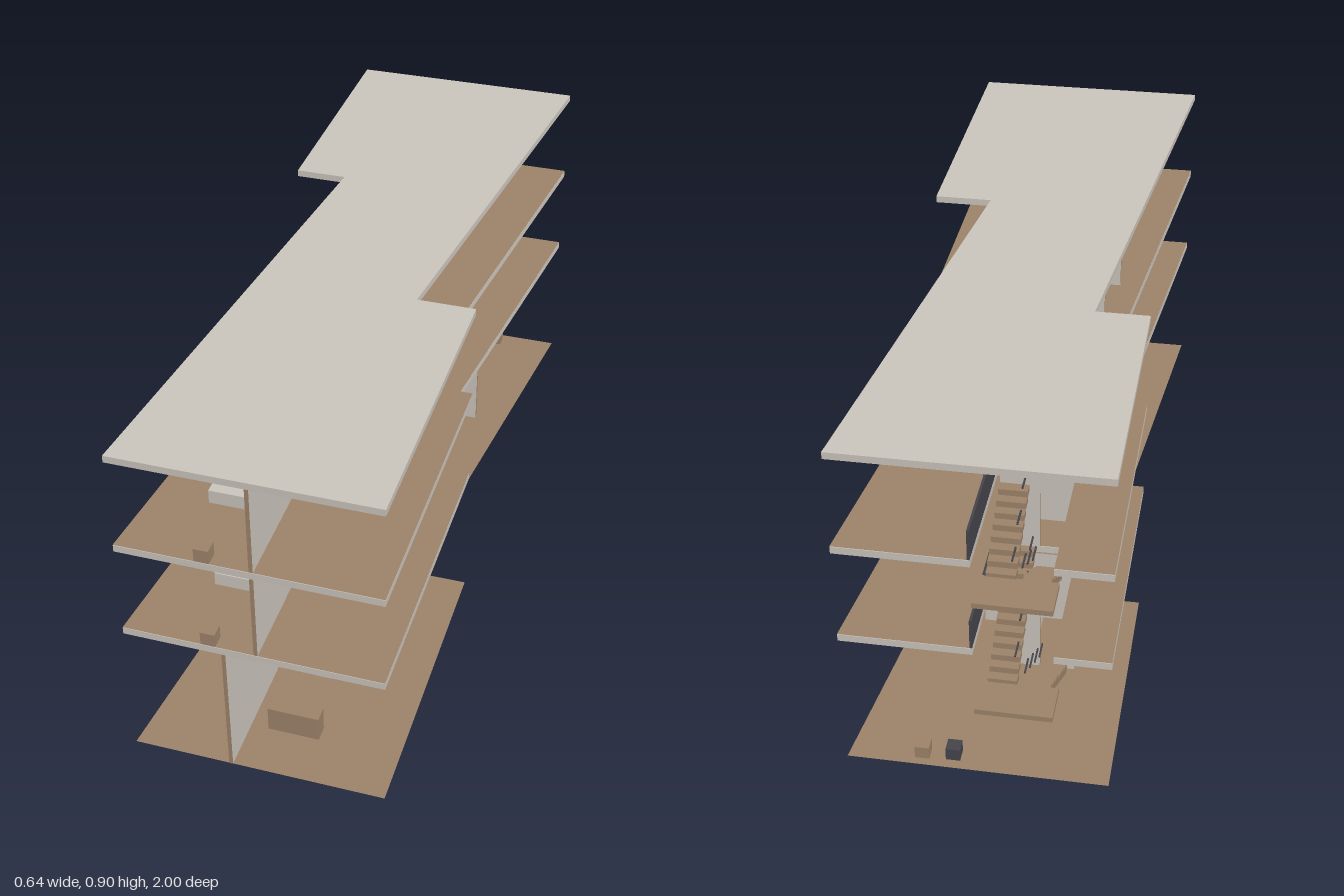
import * as THREE from 'three';

const mat = (name, color, side = THREE.FrontSide) => {
  const m = new THREE.MeshStandardMaterial({ color, side });
  m.name = name;
  return m;
};

export function createModel() {
  const concrete = mat('concrete', 0xc9c4bb);
  const wood = mat('wood', 0x9c8269);
  const floorWood = mat('floor wood', 0x9c8269, THREE.DoubleSide);
  const dark = mat('dark metal', 0x45444b);
  const root = new THREE.Group();
  root.name = 'building';

  const add = (name, geometry, material, parent = root) => {
    const mesh = new THREE.Mesh(geometry, material);
    mesh.name = name;
    parent.add(mesh);
    return mesh;
  };
  const group = (name, parent = root) => {
    const g = new THREE.Group();
    g.name = name;
    parent.add(g);
    return g;
  };
  // box given by its limits on each axis
  const box = (name, [x0, x1], [y0, y1], [z0, z1], material, parent) => {
    const m = add(name, new THREE.BoxGeometry(x1 - x0, y1 - y0, z1 - z0), material, parent);
    m.position.set((x0 + x1) / 2, (y0 + y1) / 2, (z0 + z1) / 2);
    return m;
  };

  // plan outlines as [x, z]
  const backEdge = [[-0.32, -1], [0.315, -1]];
  const stairNotch = [[-0.32, -1], [-0.187, -1], [-0.187, -0.61], [0, -0.61], [0, -1], [0.315, -1]];
  const rest = [[0.17, 0.21], [0.32, 0.21], [0.32, 1], [-0.32, 1], [-0.185, -0.33], [-0.32, -0.33]];
  const plan = (back) => new THREE.Shape([...back, ...rest].map(([x, z]) => new THREE.Vector2(x, -z)));
  const slab = (name, back, y, h) => {
    const g = new THREE.ExtrudeGeometry(plan(back), { depth: h, bevelEnabled: false });
    add(name, g.rotateX(-Math.PI / 2), concrete).position.y = y;
  };
  const floor = (name, back, y) =>
    add(name, new THREE.ShapeGeometry(plan(back)).rotateX(-Math.PI / 2), floorWood).position.y = y;

  // wall with concrete faces, wooden edges and door openings
  const T = 0.01;
  const wall = (name, a, b, y0, y1, doors, parent) => {
    const pts = [[a, y0]];
    for (const [d0, d1] of doors) {
      pts.push([d0, y0], [d0, y0 + 0.165], [d1, y0 + 0.165], [d1, y0]);
    }
    pts.push([b, y0], [b, y1], [a, y1]);
    const g = new THREE.ExtrudeGeometry(new THREE.Shape(pts.map((p) => new THREE.Vector2(...p))),
      { depth: T, bevelEnabled: false });
    return add(name, g.translate(0, 0, -T / 2), [concrete, wood], parent);
  };
  const crossWall = (name, z, x0, x1, y0, y1, doors, parent) => {
    wall(name, x0, x1, y0, y1, doors, parent).position.z = z;
  };
  const longWall = (name, x, z0, z1, y0, y1, doors, parent) => {
    const m = wall(name, -z1, -z0, y0, y1, doors.map(([d0, d1]) => [-d1, -d0]), parent);
    m.rotation.y = Math.PI / 2;
    m.position.x = x;
  };

  // floors and roof
  floor('groundFloor', backEdge, 0.001);
  for (const y of [0.37, 0.626]) {
    slab('floorSlab', stairNotch, y, 0.0185);
    floor('floorBoards', stairNotch, y + 0.02);
  }
  slab('roof', backEdge, 0.883, 0.018);

  // ground floor
  const ground = group('groundStorey');
  longWall('spineWall', -0.07, -0.605, 1, 0, 0.37, [], ground);
  crossWall('stairWall', -0.61, -0.185, 0.002, 0, 0.37, [[-0.165, -0.095]], ground);
  crossWall('backWall', -0.535, 0.01, 0.17, 0, 0.37, [[0.02, 0.092]], ground);
  box('receptionDesk', [-0.02, 0.112], [0, 0.071], [0.828, 0.868], wood, ground);
  for (let i = 0; i < 5; i++) {
    const z = 0.595 - i * 0.2475;
    box('displayBlock', [0.034, 0.076], [0, 0.112], [z - 0.066, z + 0.066], concrete, ground);
  }
  box('darkStool', [0.043, 0.078], [0, 0.035], [-0.975, -0.94], dark, ground);
  box('woodStool', [0.118, 0.153], [0, 0.035], [-0.98, -0.945], wood, ground);

  // two bedroom storeys, four rooms each
  const roomZ = [0, 1, 2, 3].map((i) => 0.63 - i * 0.3767);
  for (const [y0, y1] of [[0.39, 0.626], [0.646, 0.883]]) {
    const storey = group('bedroomStorey');
    longWall('corridorWall', 0.01, -0.51, 1, y0, y1,
      [...roomZ].map((z) => [z + 0.02, z + 0.09]), storey);
    crossWall('stairWall', -0.61, -0.185, 0.002, y0, y1, [[-0.165, -0.095]], storey);
    box('stairBalustrade', [0, 0.006], [y0, y0 + 0.08], [-1, -0.615], dark, storey);
    roomZ.forEach((z, i) => {
      const room = group('room', storey);
      const y = [y0, y0 + 0.036];
      crossWall('partition', z, -0.185, 0.005, y0, y1, [], room);
      box('bed', [-0.165, -0.05], y, [z + 0.006, z + 0.17], concrete, room);
      box('bedsideTable', [-0.041, -0.005], y, [z + 0.006, z + 0.032], wood, room);
      box('desk', [-0.125, -0.089], y, [z + 0.335, z + 0.37], wood, room);
      if (i > 0) box('chair', [-0.13, -0.096], y, [z + 0.29, z + 0.322], wood, room);
    });
  }

  // stairs: two flights with a landing between
  const stair = (y0, y1, n) => {
    const g = group('stair');
    const rise = (y1 - y0) / (2 * n);
    const run = 0.0242;
    const mid = (y0 + y1) / 2;
    for (let i = 0; i < n; i++) {
      const z = -0.9 + (n - i) * run;
      const ya = y0 + i * rise;
      box('lowerStep', [-0.165, -0.1], [ya, ya + rise], [z - run - 0.003, z], wood, g);
      const yb = y1 - (i + 1) * rise;
      box('upperStep', [-0.085, -0.015], [yb, yb + rise], [z - run - 0.003, z], wood, g);
      // short handrail bars beside the flights
      if (i % 3 === 1) {
        box('handrailBar', [-0.106, -0.102], [ya + 0.075, ya + 0.079], [z - 0.05, z], dark, g);
        box('handrailBar', [-0.083, -0.079], [yb + 0.075, yb + 0.079], [z - 0.05, z], dark, g);
      }
    }
    box('landing', [-0.185, 0], [mid - 0.008, mid + 0.006], [-1, -0.9], wood, g);
  };
  stair(0, 0.39, 12);
  stair(0.39, 0.645, 8);

  return root;
}
